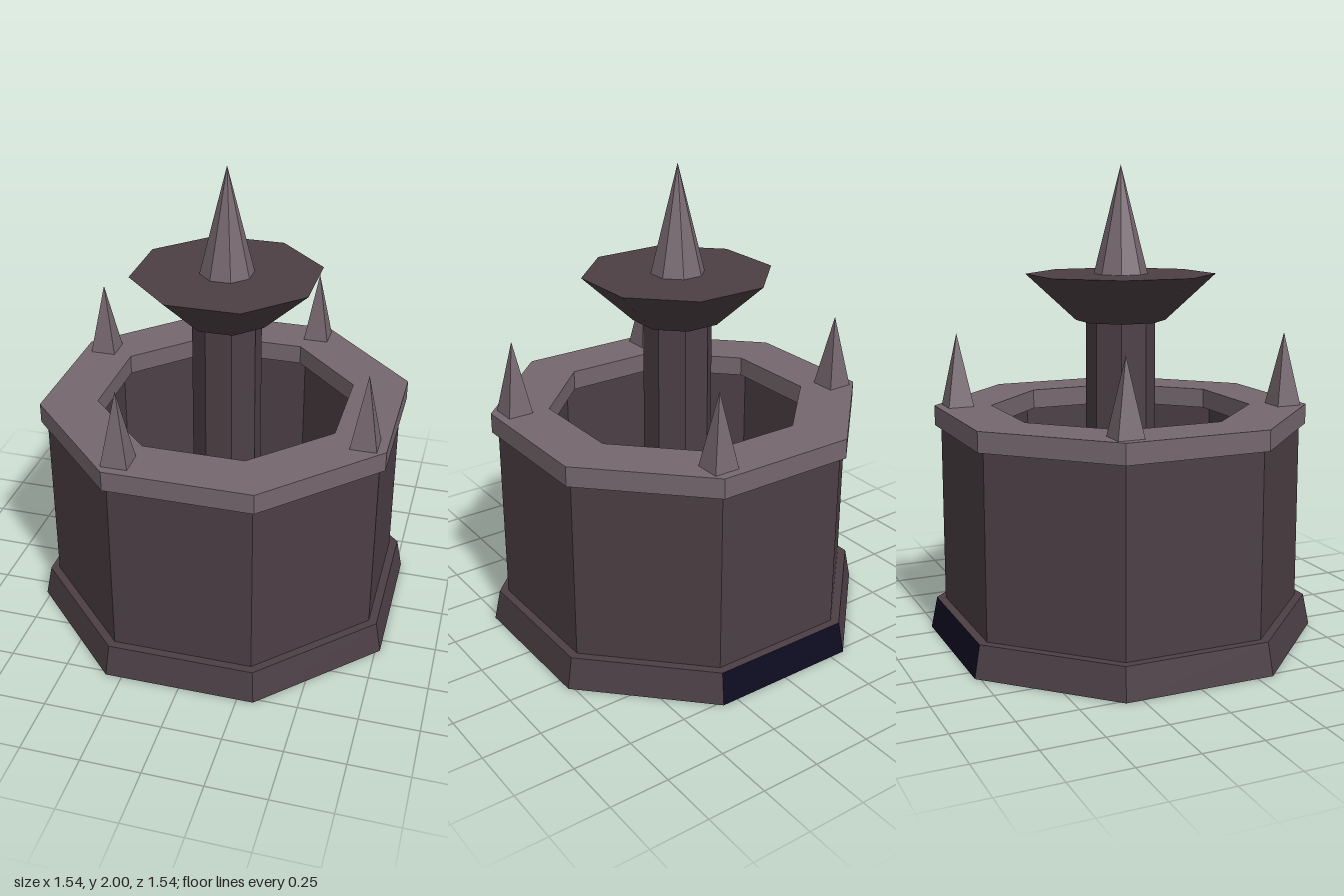
import * as THREE from 'three';

const START = -Math.PI / 8; // turns a flat side towards each axis
const corner = (apothem) => apothem / Math.cos(Math.PI / 8);

function material(name, color) {
  const m = new THREE.MeshStandardMaterial({ color, flatShading: true });
  m.name = name;
  return m;
}

// Eight-sided solid sized by the distance from its centre to a flat side
function octagon(top, bottom, y0, y1) {
  return new THREE.CylinderGeometry(corner(top), corner(bottom), y1 - y0, 8, 1, false, START)
    .translate(0, (y0 + y1) / 2, 0);
}

// Eight-sided ring with a rectangular section
function ring(outer, inner, y0, y1) {
  const [o, i] = [corner(outer), corner(inner)];
  const section = [[o, y0], [o, y1], [i, y1], [i, y0], [o, y0]];
  return new THREE.LatheGeometry(section.map(([r, y]) => new THREE.Vector2(r, y)), 8, START);
}

export function createModel() {
  const dark = material('dark stone', 0x4c3f45);
  const light = material('light stone', 0x75676e);
  const navy = material('navy', 0x0d0b20);

  const model = new THREE.Group();
  model.name = 'fountain';
  const add = (name, geometry, mat) => {
    const mesh = new THREE.Mesh(geometry, mat);
    mesh.name = name;
    model.add(mesh);
    return mesh;
  };

  // Flared plinth: underside and back face are navy, its top is the basin floor
  const plinth = octagon(0.745, 0.77, 0, 0.135);
  plinth.clearGroups();
  plinth.addGroup(0, 24, 0);
  plinth.addGroup(24, 6, 1);
  plinth.addGroup(30, 42, 0);
  plinth.addGroup(72, 24, 1);
  add('plinth', plinth, [dark, navy]);

  // Basin
  add('basinWall', ring(0.71, 0.55, 0.135, 0.905), dark);
  add('basinRim', ring(0.735, 0.51, 0.905, 0.99), light);

  // Centre column, bowl and finial
  add('column', octagon(0.135, 0.14, 0.135, 1.36), dark);
  add('bowl', octagon(0.37, 0.175, 1.355, 1.55), dark);
  add('finial', octagon(0.0001, 0.105, 1.55, 2), light);

  // Four spikes around the rim, each a quarter turn from the last
  for (let i = 0; i < 4; i++) {
    const a = (i * Math.PI) / 2;
    const x = 0.265, z = -0.643;
    const spike = add('spike',
      new THREE.ConeGeometry(0.055 * Math.SQRT2, 0.31, 4).rotateY(Math.PI / 4), light);
    spike.position.set(
      x * Math.cos(a) + z * Math.sin(a), 1.145, z * Math.cos(a) - x * Math.sin(a));
  }

  // Loose slabs on the basin floor
  const slabs = [
    [0.055, -0.43, 0.11, dark], [-0.34, -0.175, 0.11, dark],
    [0.315, 0.225, 0.11, dark], [0.38, -0.23, 0.08, light],
  ];
  for (const [x, z, size, mat] of slabs) {
    add('floorSlab', new THREE.BoxGeometry(size, 0.008, size), mat).position.set(x, 0.139, z);
  }

  return model;
}
